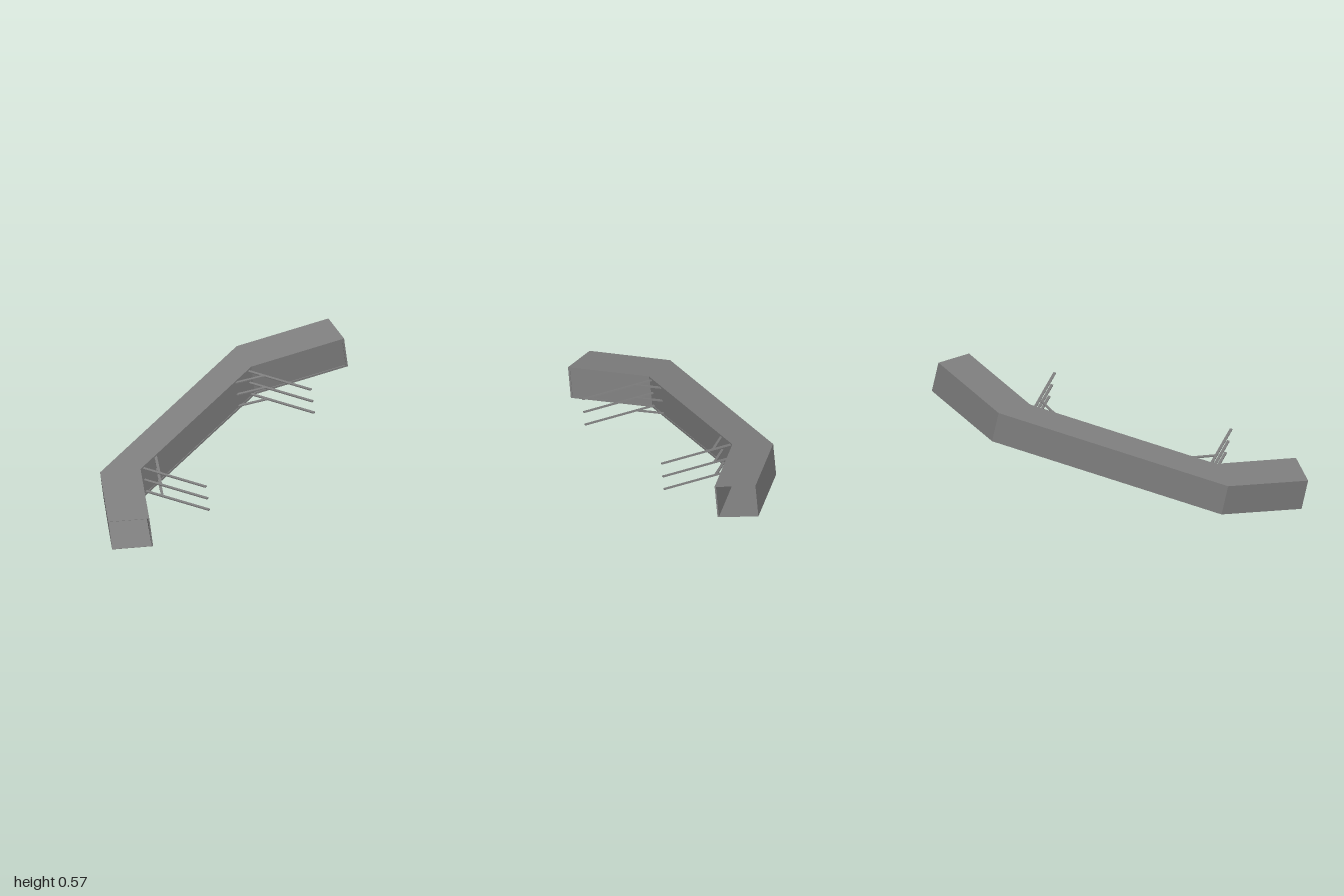
import * as THREE from 'three';

export function createModel() {
  const model = new THREE.Group();
  const mat = new THREE.MeshStandardMaterial({ color: 0x7f7f7f, flatShading: true, side: THREE.DoubleSide });

  // Plan outline (x, z) of the bent hollow beam
  const outer = [[-1.003, 0.01], [-0.651, -0.283], [0.594, -0.283], [1.003, 0.01]];
  const inner = [[-0.887, 0.188], [-0.536, -0.108], [0.473, -0.108], [0.887, 0.188]];
  const halfHeight = 0.0865, sheet = 0.0015, lip = 0.011;

  // Polyline at fraction f between the outer and inner outline
  const lineAt = (f) => outer.map(([x, z], i) => new THREE.Vector2(
    x + (inner[i][0] - x) * f, z + (inner[i][1] - z) * f));

  function add(name, geometry, parent) {
    const mesh = new THREE.Mesh(geometry, mat);
    mesh.name = name;
    parent.add(mesh);
    return mesh;
  }

  const assembly = new THREE.Group();
  assembly.name = 'leaningAssembly';
  model.add(assembly);
  const beam = new THREE.Group();
  beam.name = 'beam';
  assembly.add(beam);

  // Slab following the bend, between fractions f0..f1 and heights y0..y1
  function band(name, f0, f1, y0, y1) {
    const shape = new THREE.Shape([...lineAt(f0), ...lineAt(f1).reverse()]);
    const geo = new THREE.ExtrudeGeometry(shape, { depth: y1 - y0, bevelEnabled: false });
    geo.rotateX(Math.PI / 2).translate(0, y1, 0);
    add(name, geo, beam);
  }

  // Thin sheet shell with a slightly recessed inner panel
  const yIn = halfHeight - sheet, yLip = halfHeight - lip;
  band('topPlate', 0, 1, yIn, halfHeight);
  band('bottomPlate', 0, 1, -halfHeight, -yIn);
  band('outerWall', 0, 0.008, -yIn, yIn);
  band('innerPanel', 0.965, 0.98, -yIn, yIn);

  // Lips framing the inner panel
  band('topLip', 0.98, 1, yLip, yIn);
  band('bottomLip', 0.98, 1, -yIn, -yLip);

  // Flat strip between two plan points
  function strip(name, x0, z0, x1, z1, y, parent, width = 0.014, height = 0.006) {
    const dx = x1 - x0, dz = z1 - z0;
    const mesh = add(name, new THREE.BoxGeometry(width, height, Math.hypot(dx, dz)), parent);
    mesh.position.set((x0 + x1) / 2, y, (z0 + z1) / 2);
    mesh.rotation.y = Math.atan2(dx, dz);
  }

  // Upright lips at both ends of the inner panel
  const edge = lineAt(0.99);
  for (const [end, bend] of [[0, 1], [3, 2]]) {
    const p = edge[end], q = p.clone().lerp(edge[bend], 0.02);
    strip('endLip', p.x, p.y, q.x, q.y, 0, beam, 0.004, 2 * yLip);
  }

  // Three mounting arms with diagonal braces on each side
  for (const [name, x, dir] of [['rightMount', -0.511, 1], ['leftMount', 0.446, -1]]) {
    const mount = new THREE.Group();
    mount.name = name;
    for (const y of [-0.069, 0.002, 0.075]) {
      strip('arm', x, -0.115, x, 0.283, y, mount);
      strip('brace', x, -0.01, x + dir * 0.117, -0.113, y, mount);
    }
    assembly.add(mount);
  }

  // Whole assembly leans sideways
  assembly.rotation.z = Math.atan2(0.405, 1.963);
  assembly.position.y = 0.2875;
  return model;
}
